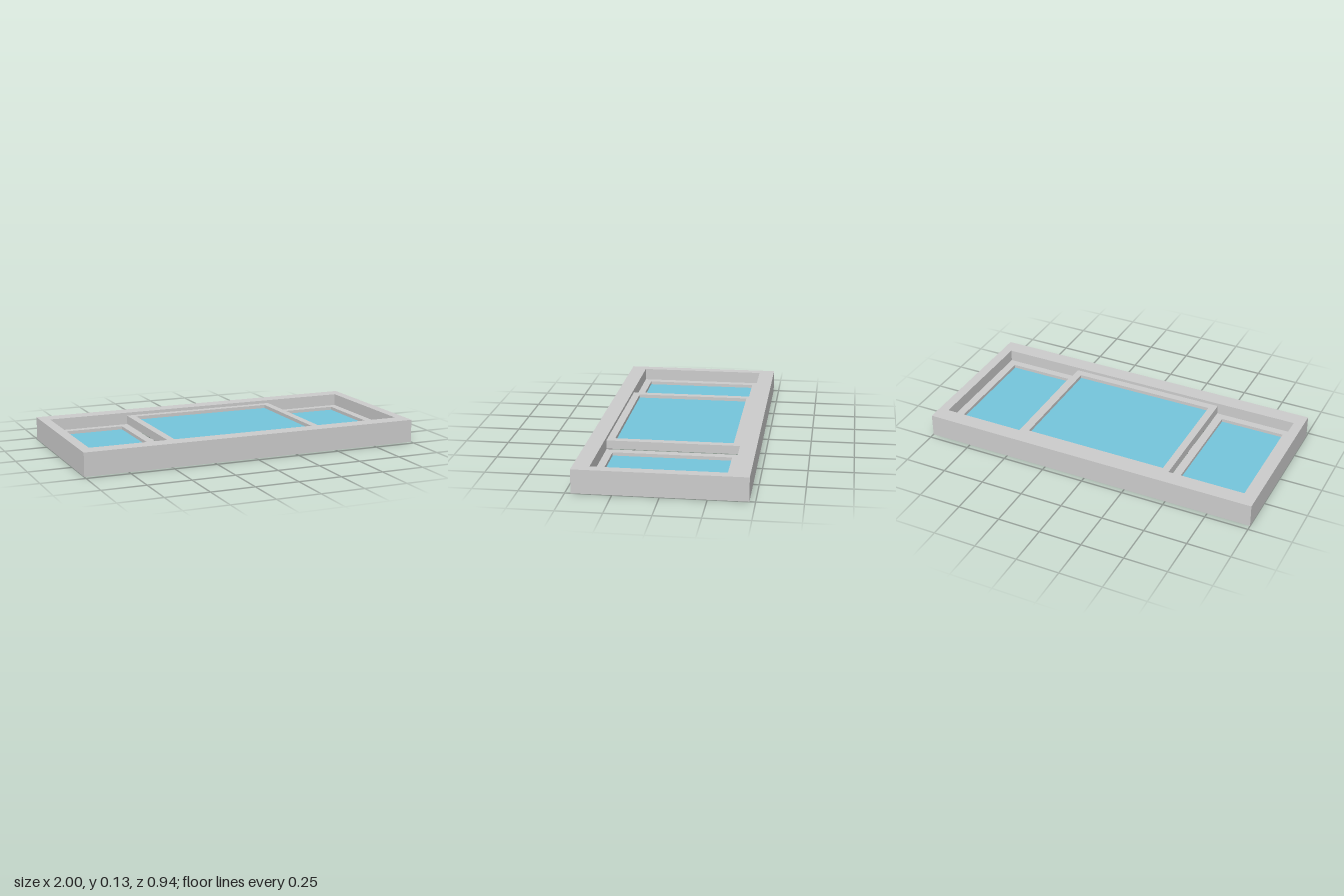
import * as THREE from 'three';

const grey = new THREE.MeshStandardMaterial({ color: 0xcccccc });
const blue = new THREE.MeshStandardMaterial({ color: 0x74c4db });

function rect(path, w, d) {
  path.moveTo(-w / 2, -d / 2);
  path.lineTo(w / 2, -d / 2);
  path.lineTo(w / 2, d / 2);
  path.lineTo(-w / 2, d / 2);
  path.closePath();
  return path;
}

// Flat rectangular ring lying in the xz plane, from y0 up to y1
function ring(name, w, d, holeW, holeD, y0, y1) {
  const shape = rect(new THREE.Shape(), w, d);
  shape.holes.push(rect(new THREE.Path(), holeW, holeD));
  const geo = new THREE.ExtrudeGeometry(shape, { depth: y1 - y0, bevelEnabled: false });
  geo.rotateX(-Math.PI / 2).translate(0, y0, 0);
  const mesh = new THREE.Mesh(geo, grey);
  mesh.name = name;
  return mesh;
}

function box(name, w, h, d, x, y, z, material = grey) {
  const mesh = new THREE.Mesh(new THREE.BoxGeometry(w, h, d), material);
  mesh.position.set(x, y, z);
  mesh.name = name;
  return mesh;
}

// Sash ring with a thin pane at half its thickness
function sash(name, w, glassW, x, y0, y1) {
  const group = new THREE.Group();
  group.name = name;
  group.add(ring('sashFrame', w, 0.752, glassW, 0.666, y0, y1));
  group.add(box('glassPane', glassW, 0.008, 0.666, 0, (y0 + y1) / 2, 0, blue));
  group.position.x = x;
  return group;
}

export function createModel() {
  const model = new THREE.Group();
  model.name = 'slidingWindow';

  model.add(ring('outerFrame', 2, 0.936, 1.886, 0.752, 0, 0.133));

  // Centre sash rides on the upper track, side sashes on the lower one
  model.add(sash('centreSash', 0.936, 0.85, 0, 0.067, 0.115));
  for (const side of [-1, 1]) {
    const name = side > 0 ? 'left' : 'right';
    model.add(sash(name + 'Sash', 0.475, 0.38, side * 0.7055, 0.017, 0.063));

    // Latch on the inner edge of the side sash, with a small thumb lever
    const latch = new THREE.Group();
    latch.name = name + 'Latch';
    latch.add(box('latchBody', 0.014, 0.022, 0.08, side * 0.461, 0.04, 0));
    latch.add(box('latchLever', 0.026, 0.012, 0.03, side * 0.45, 0.04, -0.012));
    model.add(latch);

    // Catch on the frame at the outer end of the track
    model.add(box(name + 'Catch', 0.012, 0.012, 0.06, side * 0.937, 0.011, -0.03));
  }
  return model;
}
